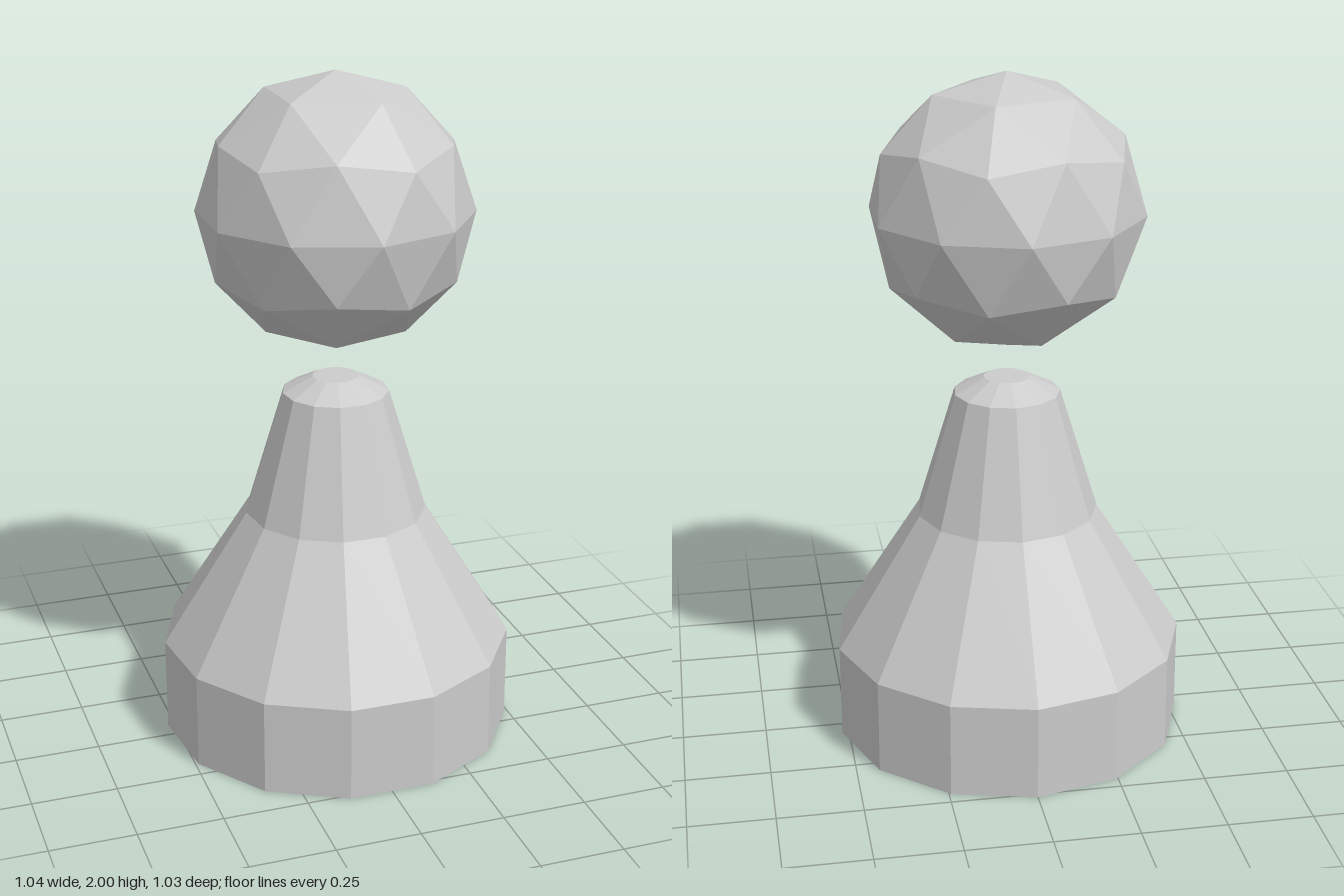
import * as THREE from 'three';

export function createModel() {
  const model = new THREE.Group();
  model.name = 'pawn';
  const material = new THREE.MeshStandardMaterial({ color: 0xcccccc, flatShading: true });
  const zOffset = 0.0075; // the odd-sided base is centred by its bounds

  // Thirteen-sided body: straight foot, flared skirt, neck and bevelled cap
  const profile = [
    [0, 0], [0.525, 0], [0.525, 0.285], [0.27, 0.69],
    [0.157, 1.06], [0.068, 1.105], [0, 1.105],
  ].map(([r, y]) => new THREE.Vector2(r, y));
  const body = new THREE.Mesh(new THREE.LatheGeometry(profile, 13, Math.PI), material);
  body.name = 'body';
  body.position.z = zOffset;
  model.add(body);

  // Faceted ball floating above the neck, turned so a vertex points straight up
  const ball = new THREE.IcosahedronGeometry(0.4, 1);
  ball.rotateZ(-Math.atan(2 / (1 + Math.sqrt(5))));
  const head = new THREE.Mesh(ball, material);
  head.name = 'head';
  head.position.set(0, 1.6, zOffset);
  model.add(head);

  return model;
}
